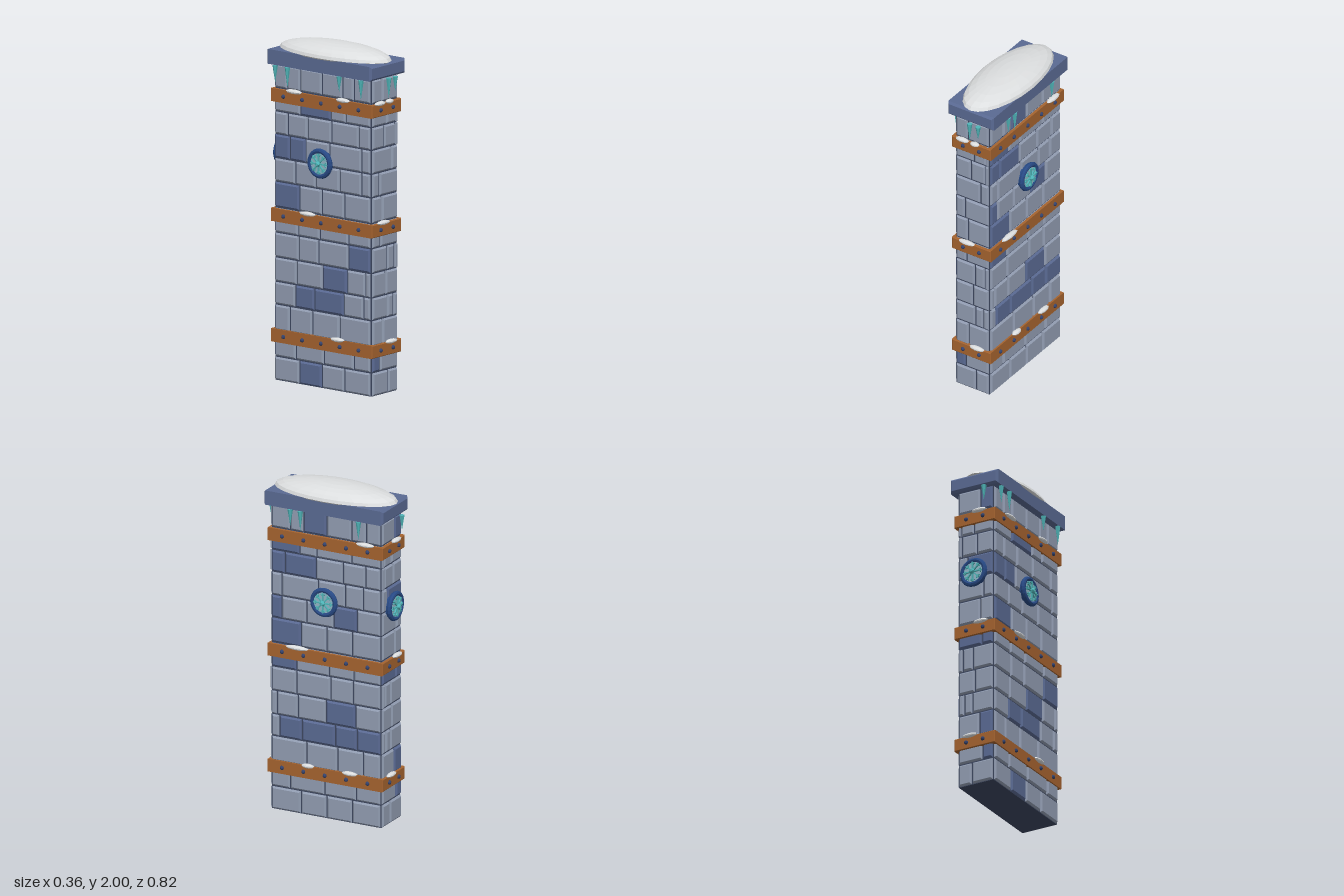
import * as THREE from 'three';

const mat = (name, color, flat = true) => {
  const m = new THREE.MeshStandardMaterial({ color, flatShading: flat });
  m.name = name;
  return m;
};

export function createModel() {
  const M = {
    stone: mat('light stone', 0x919cb1),
    slate: mat('blue slate', 0x5a6a93),
    mortar: mat('dark mortar', 0x3d4760),
    wood: mat('copper band', 0xa5632f),
    rivet: mat('navy rivet', 0x34436e),
    ring: mat('medallion blue', 0x284a86),
    frost: mat('frost plate', 0x8fb6c6),
    ice: mat('teal ice', 0x4fb5b8),
    snow: mat('snow', 0xdcdedf),
  };
  const model = new THREE.Group();
  model.name = 'stonePillar';
  const body = new THREE.Group();
  body.name = 'pillarBody';
  body.position.z = 0.01;
  model.add(body);

  const add = (parent, name, geo, material, x = 0, y = 0, z = 0) => {
    const m = new THREE.Mesh(geo, material);
    m.name = name;
    m.position.set(x, y, z);
    parent.add(m);
    return m;
  };

  // Chamfered block, centred on all axes
  const block = (w, h, d, b) => {
    const x = w / 2 - b, y = h / 2 - b;
    const s = new THREE.Shape([[-x, -y], [x, -y], [x, y], [-x, y]].map(p => new THREE.Vector2(...p)));
    const g = new THREE.ExtrudeGeometry(s, {
      depth: d - 2 * b, bevelEnabled: true, bevelThickness: b, bevelSize: b, bevelSegments: 1,
    });
    return g.translate(0, 0, -(d - 2 * b) / 2);
  };

  // Dark core behind the bricks
  add(body, 'mortarCore', new THREE.BoxGeometry(0.226, 1.845, 0.706), M.mortar, 0, 0.9275, 0);

  // Heights of the brick courses
  const courses = [0.005, 0.143, 0.295, 0.446, 0.578, 0.72, 0.864, 1.01, 1.16, 1.297, 1.436, 1.568, 1.705, 1.845];
  // Vertical joints of each course, as hundredths of a unit from the face centre
  const sideJoints = [
    [-16, 0.5, 17], [-23, -1, 19.5], [-12.5, 7.5, 24], [-30, -15.5, 6, 20], [-31.5, -18, 0, 19],
    [-19, 3, 17.5], [-19, 2, 18], [-16, 0.5, 17], [-28.5, -12.5, 5, 20], [-28.5, -5, 12.5, 24],
    [-26.5, -6.5, 11, 25.5], [-17, -6, 16.5], [-23, -14.5, 0.5, 16.5, 26],
  ];
  const frontJoints = [
    [2.5], [-4.5], [-2.5], [2, 7.5], [0.5], [1.8, 8.5], [-4], [-3], [-5], [5.5], [-1, 9], [1, 9.5], [-3],
  ];
  const mirrored = rows => rows.map(r => r.map(v => -v).reverse());

  // Each face: turn, half width, distance from the centre, joints, and blue bricks as [course, index]
  const faces = [
    { name: 'front', turn: 0, half: 0.113, out: 0.365, joints: frontJoints, blue: [[1, 0]] },
    { name: 'left', turn: Math.PI / 2, half: 0.352, out: 0.125, joints: sideJoints,
      blue: [[3, 1], [3, 2], [3, 3], [3, 4], [4, 3], [6, 0], [7, 0], [8, 0], [8, 3], [10, 0], [10, 1], [11, 0], [12, 2]] },
    { name: 'back', turn: Math.PI, half: 0.113, out: 0.365, joints: mirrored(frontJoints),
      blue: [[1, 1], [2, 1], [6, 0], [6, 1], [9, 1], [12, 1]] },
    { name: 'right', turn: -Math.PI / 2, half: 0.352, out: 0.125, joints: mirrored(sideJoints),
      blue: [[0, 1], [3, 1], [3, 2], [4, 2], [5, 3], [7, 0], [9, 0], [9, 1], [11, 1]] },
  ];
  const gap = 0.008;
  for (const f of faces) {
    f.group = new THREE.Group();
    f.group.name = f.name + 'Face';
    f.group.rotation.y = f.turn;
    body.add(f.group);
    f.joints.forEach((row, r) => {
      const xs = [-f.half, ...row.map(v => v / 100), f.half];
      const h = courses[r + 1] - courses[r] - gap;
      for (let i = 0; i + 1 < xs.length; i++) {
        const w = xs[i + 1] - xs[i] - gap;
        const isBlue = f.blue.some(b => b[0] === r && b[1] === i);
        add(f.group, 'brick', block(w, h, 0.05, Math.min(0.009, w / 4)), isBlue ? M.slate : M.stone,
          (xs[i] + xs[i + 1]) / 2, (courses[r] + courses[r + 1]) / 2, f.out - 0.025);
      }
    });
  }

  // Bands with rivets on every face
  const bandY = [0.267, 0.967, 1.663];
  const rivetGeo = new THREE.SphereGeometry(0.0125, 8, 6);
  for (const y of bandY) {
    add(body, 'band', block(0.266, 0.076, 0.746, 0.004), M.wood, 0, y, 0);
    for (const f of faces) {
      const us = f.half > 0.2 ? [-0.276, -0.138, 0, 0.138, 0.276] : [-0.055, 0.055];
      for (const u of us) add(f.group, 'rivet', rivetGeo, M.rivet, u, y, f.out + 0.009);
    }
  }

  // Small drifts lying on the bands: [band, position along face, half length]
  const driftGeo = new THREE.SphereGeometry(1, 9, 6);
  const drifts = [
    [[0, 0.04, 0.05], [1, -0.03, 0.055], [2, -0.06, 0.045], [2, 0.025, 0.03]],
    [[0, -0.11, 0.04], [0, 0.16, 0.05], [1, -0.18, 0.075], [2, 0.26, 0.06]],
    [[0, -0.03, 0.05], [1, 0.04, 0.05], [2, 0.03, 0.05]],
    [[0, 0.12, 0.05], [1, -0.1, 0.06], [2, -0.2, 0.06], [2, 0.16, 0.05]],
  ];
  drifts.forEach((list, i) => {
    for (const [b, u, l] of list) {
      const d = add(faces[i].group, 'snowDrift', driftGeo, M.snow, u, bandY[b] + 0.039, faces[i].out + 0.008);
      d.scale.set(l, 0.013, 0.02);
    }
  });

  // Round frosted medallions on both sides and the back
  const discGeo = (r, d) => new THREE.CylinderGeometry(r, r, d, 20).rotateX(Math.PI / 2);
  for (const f of faces.slice(1)) {
    const m = new THREE.Group();
    m.name = 'medallion';
    m.position.set(0, 1.315, f.out);
    f.group.add(m);
    add(m, 'medallionBack', discGeo(0.078, 0.025), M.ring, 0, 0, 0.008);
    add(m, 'medallionRing', new THREE.TorusGeometry(0.073, 0.015, 8, 24), M.ring, 0, 0, 0.018);
    add(m, 'frostPlate', discGeo(0.061, 0.02), M.frost, 0, 0, 0.017);
    for (let k = 0; k < 8; k++) {
      const arm = new THREE.Group();
      arm.name = 'frostArm';
      arm.rotation.z = k * Math.PI / 4;
      m.add(arm);
      add(arm, 'armBar', new THREE.BoxGeometry(0.007, 0.05, 0.012), M.ice, 0, 0.035, 0.03);
      for (const s of [-1, 1]) {
        const t = add(arm, 'armBranch', new THREE.BoxGeometry(0.005, 0.018, 0.01), M.ice, s * 0.006, 0.047, 0.03);
        t.rotation.z = -s * 0.8;
      }
    }
    add(m, 'centreGem', new THREE.IcosahedronGeometry(0.018, 0), M.ice, 0, 0, 0.038);
  }

  // Capstone and rounded snow cover
  add(body, 'capstone', block(0.314, 0.086, 0.768, 0.012), M.slate, 0, 1.888, 0);
  const cover = new THREE.SphereGeometry(1, 24, 12);
  const p = cover.attributes.position;
  for (let i = 0; i < p.count; i++) if (p.getY(i) < 0) p.setY(i, p.getY(i) * 0.4);
  add(body, 'snowCover', cover, M.snow, 0, 1.932, -0.002).scale.set(0.17, 0.068, 0.388);

  // Icicles under the capstone: [position along face, length]
  const icicles = [
    [[0, 0.115], [0.058, 0.085]],
    [[-0.215, 0.1], [-0.15, 0.12], [0.225, 0.11]],
    [[0.07, 0.09]],
    [[-0.325, 0.1], [-0.235, 0.12], [0.145, 0.09], [0.305, 0.115]],
  ];
  icicles.forEach((list, i) => {
    for (const [u, len] of list) {
      const g = new THREE.ConeGeometry(0.016, len, 6).rotateX(Math.PI);
      add(faces[i].group, 'icicle', g, M.ice, u, 1.842 - len / 2, faces[i].out + 0.023);
    }
  });

  return model;
}
